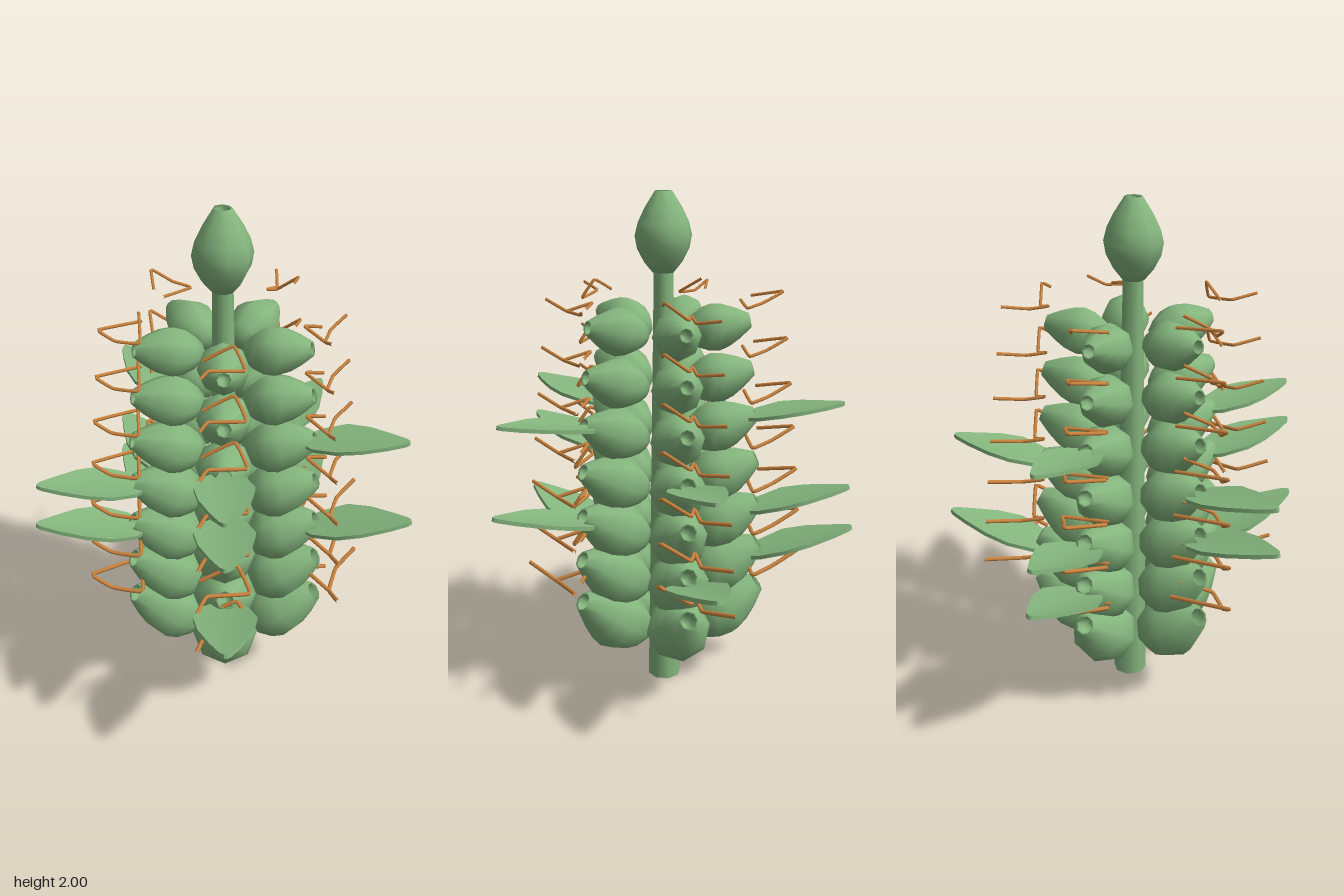
import * as THREE from 'three';

const green = new THREE.MeshStandardMaterial({ color: 0x85b67e });
green.name = 'plant green';
const orange = new THREE.MeshStandardMaterial({ color: 0xcd853f });
orange.name = 'tendril orange';

const CENTRE_X = -0.07;
const TIERS = 7, COLUMNS = 5;
const STEP = (Math.PI * 2) / COLUMNS;

// Pods get shorter and flatter towards the top
const tierScale = (i) => 1 - 0.0465 * i;
const podLength = (i) => 0.35 * tierScale(i);
const podTilt = (i) => 0.63 - 0.07 * i;
const podBase = (i) => new THREE.Vector2(0.1 - 0.0025 * i, 0.22 + 0.208 * i);

// Egg-shaped pod of unit length along +y with a hollow at the tip
function podGeometry() {
  const profile = [
    [0, 0], [0.14, 0], [0.25, 0.13], [0.34, 0.3], [0.37, 0.46],
    [0.33, 0.62], [0.24, 0.8], [0.11, 1], [0.09, 0.98], [0.085, 0.84], [0, 0.82],
  ].map(([r, y]) => new THREE.Vector2(r, y));
  return new THREE.LatheGeometry(profile, 8);
}

// Thin pointed leaf along +x, with its sides cupped slightly upward
function leafGeometry() {
  const half = [[0, 0.03], [0.06, 0.085], [0.17, 0.119], [0.27, 0.1], [0.37, 0.056], [0.435, 0.022], [0.45, 0.006]];
  const geometry = new THREE.BoxGeometry(half.length - 1, 0.016, 2, half.length - 1, 1, 6);
  const pos = geometry.attributes.position;
  for (let v = 0; v < pos.count; v++) {
    const [x, width] = half[Math.round(pos.getX(v) + (half.length - 1) / 2)];
    const z = pos.getZ(v) * width;
    pos.setXYZ(v, x, pos.getY(v) + 0.9 * z * z - 0.004, z);
  }
  geometry.computeVertexNormals();
  return geometry;
}

// Bent tendril paths on the lowest tier, listed with their column
const tendrilPaths = [
  [0, [[0.52, 0.53, -0.12], [0.39, 0.5, -0.03], [0.29, 0.52, -0.03], [0.34, 0.51, 0.0], [0.36, 0.6, 0.12], [0.31, 0.58, 0.12]]],
  [1, [[-0.05, 0.54, -0.4], [0.09, 0.58, -0.53], [0.12, 0.53, -0.41], [0.15, 0.51, -0.31], [-0.05, 0.52, -0.34]]],
  [2, [[-0.27, 0.53, -0.26], [-0.5, 0.55, -0.34], [-0.47, 0.5, -0.26], [-0.42, 0.5, -0.15], [-0.3, 0.59, -0.25]]],
  [3, [[-0.62, 0.55, 0.27], [-0.49, 0.52, 0.22], [-0.36, 0.5, 0.33], [-0.35, 0.6, 0.26], [-0.44, 0.53, 0.15]]],
  [4, [[-0.09, 0.56, 0.55], [0.0, 0.51, 0.46], [0.14, 0.51, 0.41], [0.25, 0.55, 0.43]]],
  [4, [[0.0, 0.51, 0.46], [0.02, 0.55, 0.33], [0.1, 0.53, 0.38]]],
];

function podTip(i, k) {
  const base = podBase(i), length = podLength(i);
  const r = base.x + length * Math.cos(podTilt(i));
  const a = k * STEP;
  return new THREE.Vector3(
    CENTRE_X + r * Math.cos(a), base.y + length * Math.sin(podTilt(i)), -r * Math.sin(a));
}

function tendrilGeometry(i, k, path) {
  const origin = podTip(0, k), tip = podTip(i, k);
  const points = path.map((p) =>
    new THREE.Vector3(...p).sub(origin).multiplyScalar(tierScale(i)).add(tip));
  const curve = new THREE.CatmullRomCurve3(points, false, 'catmullrom', 0.12);
  return new THREE.TubeGeometry(curve, 48, 0.0085 * tierScale(i), 5);
}

// Tiers that carry a leaf in each column
const leafTiers = [[1, 3], [1, 2, 4], [2, 3], [1, 3, 4], [2, 4]];

export function createModel() {
  const model = new THREE.Group();
  model.name = 'floweringStalk';

  const add = (parent, name, geometry, material) => {
    const mesh = new THREE.Mesh(geometry, material);
    mesh.name = name;
    parent.add(mesh);
    return mesh;
  };

  // Tapered stem and the bud on top
  add(model, 'stem', new THREE.CylinderGeometry(0.038, 0.068, 1.72, 8), green)
    .position.set(CENTRE_X, 0.86, 0);
  const pod = podGeometry();
  const bud = add(model, 'topBud', pod, green);
  bud.position.set(CENTRE_X, 1.7, 0);
  bud.scale.setScalar(0.3);

  const leaf = leafGeometry();
  for (let k = 0; k < COLUMNS; k++) {
    const column = new THREE.Group();
    column.name = 'podColumn';
    column.position.x = CENTRE_X;
    column.rotation.y = k * STEP;
    model.add(column);

    // Pods pointing outward and up
    for (let i = 0; i < TIERS; i++) {
      const mesh = add(column, 'pod', pod, green);
      const base = podBase(i);
      mesh.position.set(base.x, base.y, 0);
      mesh.rotation.z = podTilt(i) - Math.PI / 2;
      mesh.scale.setScalar(podLength(i));
    }

    // Leaves growing outward from the middle tiers
    for (const i of leafTiers[k]) {
      const n = i - 1, s = 1 - 0.036 * n, slope = 0.3 - 0.045 * n;
      const mesh = add(column, 'leaf', leaf, green);
      mesh.position.set(
        0.76 - 0.018 * n - 0.45 * s * Math.cos(slope),
        0.685 + 0.172 * n - 0.45 * s * Math.sin(slope), 0);
      mesh.rotation.z = slope;
      mesh.scale.setScalar(s);
    }
  }

  // Tendrils hovering around the pod tips
  for (const [k, path] of tendrilPaths) {
    for (let i = 0; i < TIERS; i++) add(model, 'tendril', tendrilGeometry(i, k, path), orange);
  }
  return model;
}
